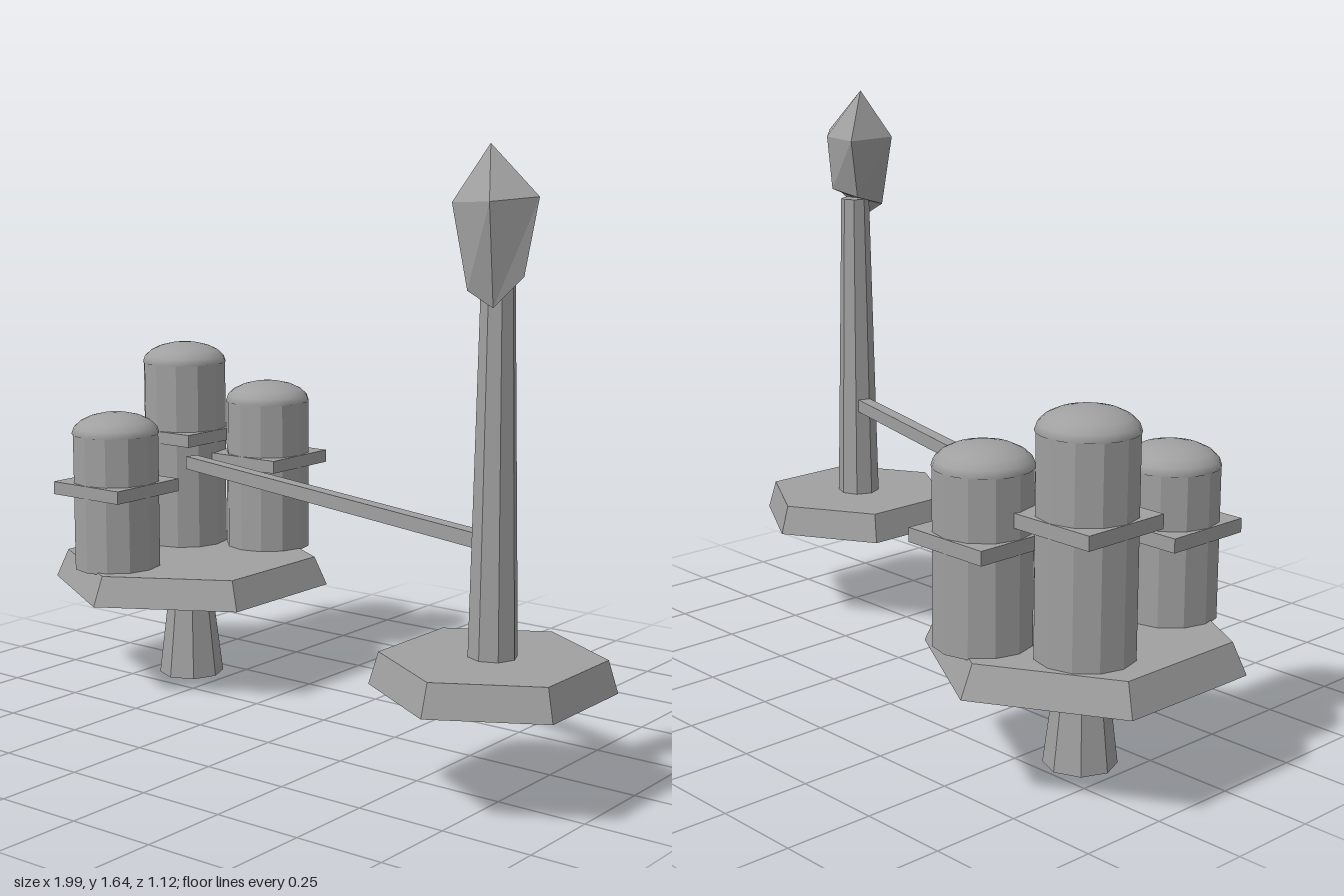
import * as THREE from 'three';

const grey = new THREE.MeshStandardMaterial({ color: 0xa0a0a0 });
grey.name = 'plainGrey';

function add(parent, name, geometry, x, y, z) {
  const mesh = new THREE.Mesh(geometry, grey);
  mesh.name = name;
  mesh.position.set(x, y, z);
  parent.add(mesh);
  return mesh;
}

// Faceted, tapered prism standing on y = bottom
function prism(parent, name, rTop, rBottom, bottom, top, sides, x, z) {
  const g = new THREE.CylinderGeometry(rTop, rBottom, top - bottom, sides).toNonIndexed();
  g.computeVertexNormals();
  return add(parent, name, g, x, (top + bottom) / 2, z);
}

// Storage tank: faceted body, flattened smooth dome and a square collar
function tank(x, z, bodyTop, collarY) {
  const r = 0.13;
  const group = new THREE.Group();
  group.name = 'tank';
  prism(group, 'tankBody', r, r, 0.37, bodyTop, 12, x, z);
  const dome = new THREE.SphereGeometry(r, 24, 5, 0, Math.PI * 2, 0, Math.PI / 2);
  dome.scale(1, 0.48, 1);
  add(group, 'tankDome', dome, x, bodyTop, z);
  add(group, 'tankCollar', new THREE.BoxGeometry(0.262, 0.038, 0.262), x, collarY, z);
  return group;
}

// Irregular five-sided crystal: apex, wide ring, narrow slanted lower ring
function crystalGeometry() {
  const apex = [0.703, 1.64, 0.255];
  const base = [0.73, 1.31, 0.25];
  const wide = [[0.64, 1.50, 0.325], [0.755, 1.505, 0.338], [0.83, 1.515, 0.235],
    [0.775, 1.50, 0.18], [0.65, 1.495, 0.172]];
  const low = [[0.685, 1.29, 0.322], [0.745, 1.25, 0.30], [0.80, 1.325, 0.25],
    [0.765, 1.34, 0.19], [0.675, 1.32, 0.215]];
  const points = [];
  for (let i = 0; i < 5; i++) {
    const j = (i + 1) % 5;
    points.push(wide[i], wide[j], apex);
    points.push(low[i], low[j], wide[j], low[i], wide[j], wide[i]);
    points.push(low[j], low[i], base);
  }
  const g = new THREE.BufferGeometry();
  g.setAttribute('position', new THREE.Float32BufferAttribute(points.flat(), 3));
  g.computeVertexNormals();
  return g;
}

export function createModel() {
  const model = new THREE.Group();
  model.name = 'tankPlatformAndTower';
  const a = new THREE.Vector3(-0.63, 0.662, -0.14);
  const b = new THREE.Vector3(0.725, 0.662, 0.247);

  // Tank platform on a flared leg
  prism(model, 'tankPlatform', 0.387, 0.425, 0.29, 0.375, 6, a.x, a.z);
  prism(model, 'platformLeg', 0.062, 0.098, 0, 0.295, 8, a.x, a.z);
  model.add(
    tank(-0.775, -0.284, 0.945, 0.72),
    tank(-0.532, -0.398, 0.83, 0.65),
    tank(-0.705, 0.103, 0.775, 0.613)
  );

  // Tower platform, mast and crystal
  prism(model, 'towerPlatform', 0.287, 0.312, 0.29, 0.375, 6, b.x, b.z);
  prism(model, 'towerMast', 0.043, 0.064, 0.37, 1.31, 8, b.x, b.z);
  add(model, 'towerCrystal', crystalGeometry(), 0, 0, 0);

  // Beam joining the two platforms
  const span = b.clone().sub(a);
  const mid = a.clone().add(b).multiplyScalar(0.5);
  const beam = add(model, 'connectingBeam',
    new THREE.BoxGeometry(span.length() - 0.025, 0.039, 0.039), mid.x, mid.y, mid.z);
  beam.rotation.y = -Math.atan2(span.z, span.x);

  return model;
}
